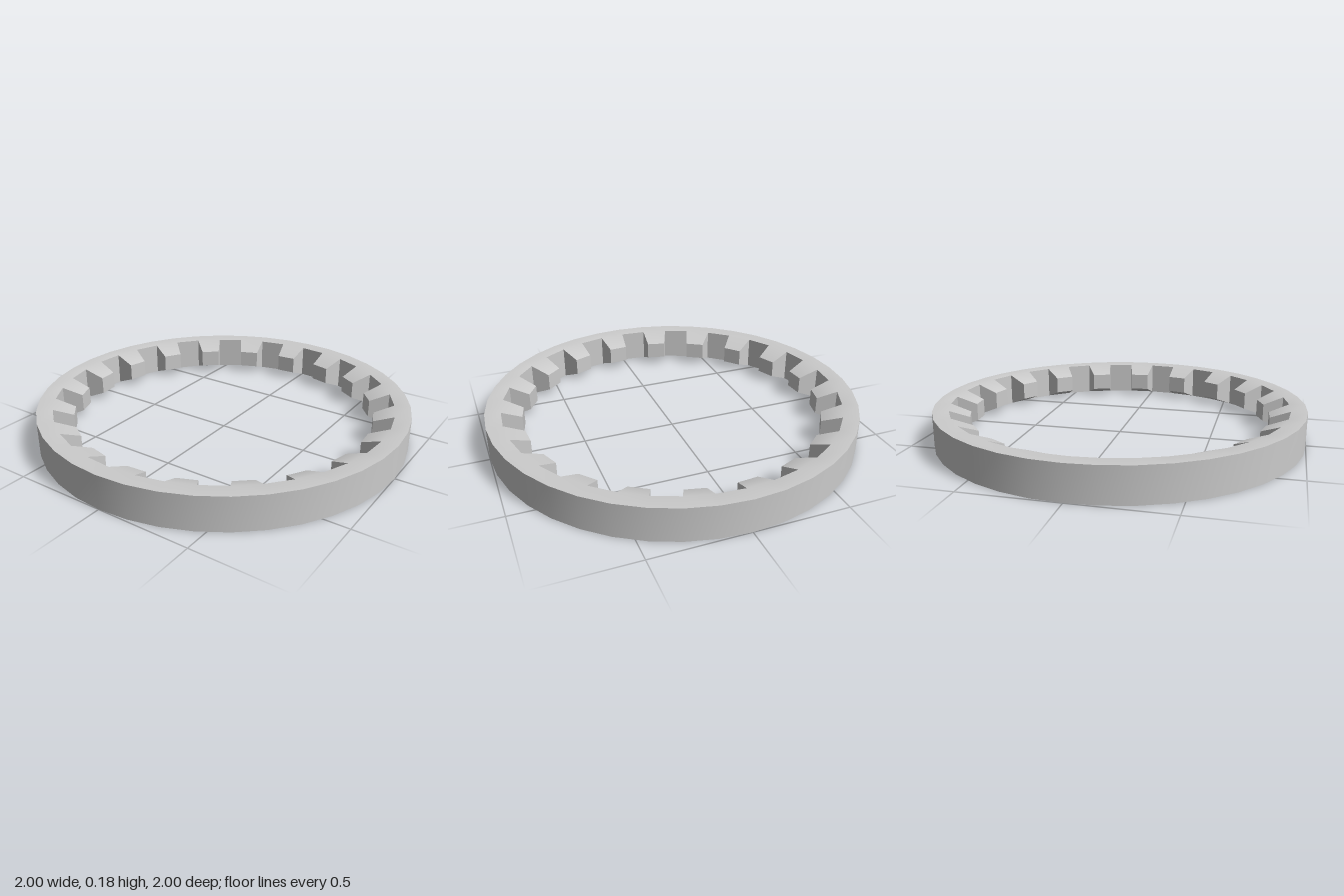
import * as THREE from 'three';
import { toCreasedNormals } from 'three/addons/utils/BufferGeometryUtils.js';

const SEGMENTS = 40;            // alternating notch and tooth
const HEIGHT = 0.18;
const OUTER = 1, INNER = 0.915, TIP = 0.808;
const TIP_LOW = 0.043, TIP_HIGH = HEIGHT - TIP_LOW;
const TIP_INSET = THREE.MathUtils.degToRad(0.75);

// Point on the ring, angle measured from the back towards +x
const point = (a, r, y) => [r * Math.sin(a), y, -r * Math.cos(a)];

export function createModel() {
  const positions = [];
  const quad = (a, b, c, d) => positions.push(...a, ...b, ...c, ...a, ...c, ...d);

  for (let i = 0; i < SEGMENTS; i++) {
    const a0 = (i / SEGMENTS) * Math.PI * 2;
    const a1 = ((i + 1) / SEGMENTS) * Math.PI * 2;
    const corners = (r, low, high, inset = 0) => ({
      b0: point(a0 + inset, r, low), b1: point(a1 - inset, r, low),
      t0: point(a0 + inset, r, high), t1: point(a1 - inset, r, high),
    });
    const o = corners(OUTER, 0, HEIGHT);
    const n = corners(INNER, 0, HEIGHT);

    // Rim: outer wall, top and bottom
    quad(o.b1, o.b0, o.t0, o.t1);
    quad(o.t0, n.t0, n.t1, o.t1);
    quad(o.b1, n.b1, n.b0, o.b0);

    if (i % 2 === 0) {
      // Notch wall
      quad(n.b0, n.b1, n.t1, n.t0);
    } else {
      // Tapered tooth: tip, sloping top and bottom, two sides
      const t = corners(TIP, TIP_LOW, TIP_HIGH, TIP_INSET);
      quad(t.b0, t.b1, t.t1, t.t0);
      quad(n.t0, t.t0, t.t1, n.t1);
      quad(n.b1, t.b1, t.b0, n.b0);
      quad(n.b0, t.b0, t.t0, n.t0);
      quad(n.t1, t.t1, t.b1, n.b1);
    }
  }

  const geometry = new THREE.BufferGeometry();
  geometry.setAttribute('position', new THREE.Float32BufferAttribute(positions, 3));
  const ring = new THREE.Mesh(
    toCreasedNormals(geometry, 0.5),
    new THREE.MeshStandardMaterial({ color: 0xcccccc }),
  );
  ring.name = 'internalGearRing';

  const group = new THREE.Group();
  group.name = 'ringGear';
  group.add(ring);
  return group;
}
